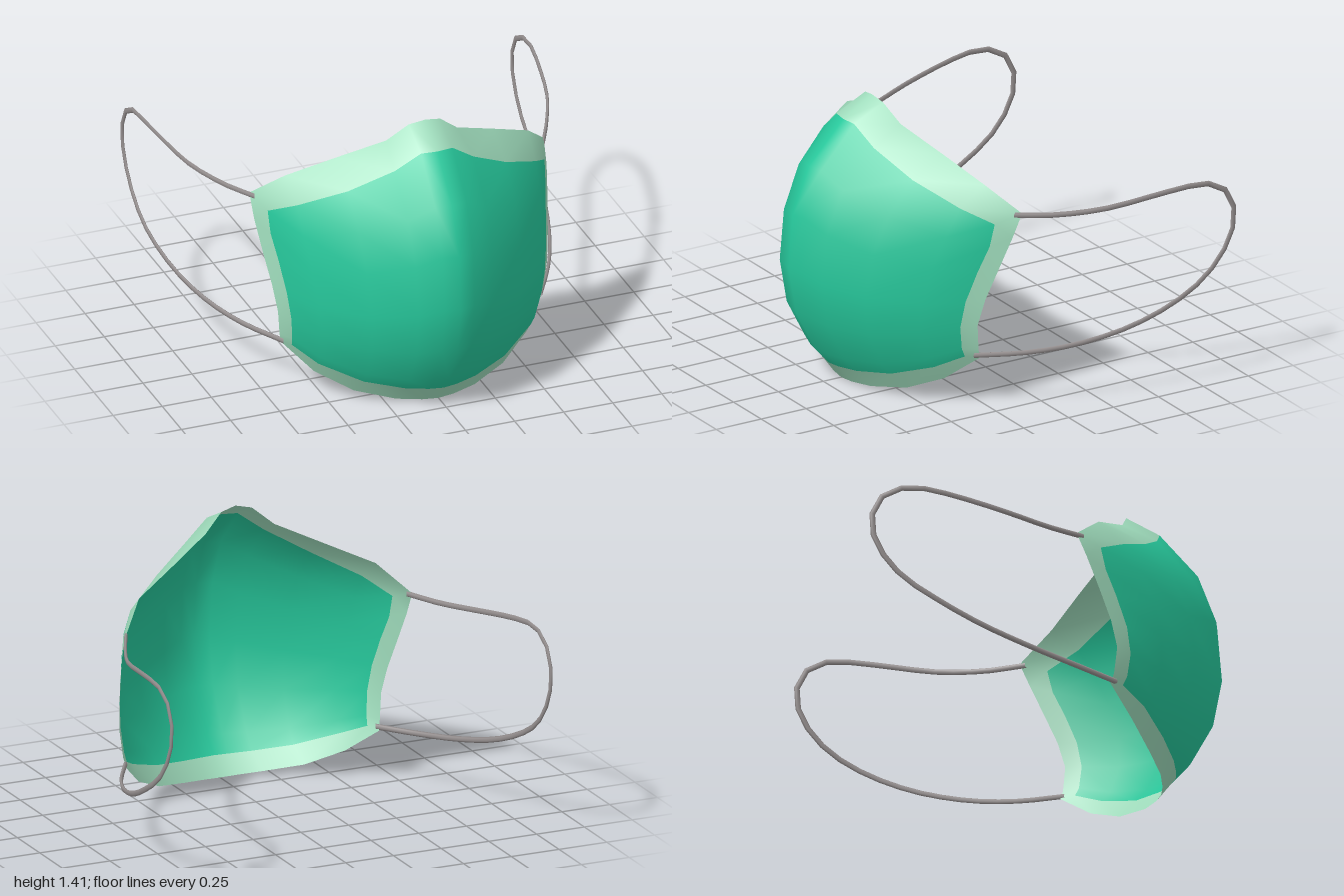
import * as THREE from 'three';
import { mergeVertices } from 'three/addons/utils/BufferGeometryUtils.js';

// Columns run from the centre line to the side seam
const ACROSS = [0, 0.114, 0.285, 0.57, 0.86, 1];   // share of the half width
const FALL = [0, 0.03, 0.115, 0.34, 0.68, 1];      // share of the way back to the seam
const BOTTOM_Y = [0.09, 0.092, 0.1, 0.13, 0.2, 0.26];
const TOP_Y = [1.32, 1.318, 1.23, 1.115, 1.01, 0.935];
// Rows from bottom seam to top seam: height share, centre z, seam x, seam z
const ROWS = [
  [0, 0.72, 0.63, 0.35], [0.065, 0.79, 0.635, 0.37], [0.236, 0.9, 0.645, 0.385],
  [0.43, 0.943, 0.66, 0.365], [0.65, 0.92, 0.68, 0.31], [0.837, 0.83, 0.7, 0.255],
  [1, 0.64, 0.705, 0.23],
];
// Outer rim: top centre, over the cheek, down the side, to bottom centre
const RIM = [
  [0, 1.412, 0.48], [0.08, 1.395, 0.467], [0.18, 1.31, 0.43], [0.4, 1.21, 0.33], [0.62, 1.11, 0.235],
  [0.75, 0.98, 0.105],
  [0.745, 0.865, 0.155], [0.725, 0.71, 0.22], [0.702, 0.56, 0.28], [0.685, 0.43, 0.313], [0.672, 0.3, 0.3],
  [0.66, 0.25, 0.285],
  [0.54, 0.13, 0.41], [0.38, 0.05, 0.52], [0.2, 0.015, 0.61], [0.08, 0.004, 0.642], [0, 0, 0.65],
];
// Ear loop path on the +x side
const LOOP = [
  [0.735, 0.972, 0.135], [0.825, 0.967, -0.05], [0.915, 0.985, -0.27], [0.965, 1.018, -0.5],
  [0.992, 1.037, -0.69], [0.993, 1.02, -0.81], [0.993, 0.955, -0.895], [0.993, 0.845, -0.928],
  [0.993, 0.72, -0.897], [0.993, 0.58, -0.79], [0.99, 0.475, -0.63], [0.95, 0.375, -0.4],
  [0.88, 0.31, -0.15], [0.785, 0.278, 0.08], [0.655, 0.265, 0.31],
];

function maskGeometry() {
  const grid = ROWS.map(([h, zc, xe, ze]) => ACROSS.map((a, c) => [
    a * xe, THREE.MathUtils.lerp(BOTTOM_Y[c], TOP_Y[c], h), THREE.MathUtils.lerp(zc, ze, FALL[c]),
  ]));
  const last = ROWS.length - 1;
  const seam = [
    ...grid[last],
    ...grid.slice(1, last).reverse().map((row) => row[5]),
    ...grid[0].slice().reverse(),
  ];
  const positions = [];
  const quad = (a, b, c, d, side) => {
    const corners = side > 0 ? [a, b, c, a, c, d] : [a, c, b, a, d, c];
    for (const [x, y, z] of corners) positions.push(x * side, y, z);
  };

  // Main panel, both halves
  for (const side of [1, -1])
    for (let r = 0; r < last; r++)
      for (let c = 0; c < 5; c++)
        quad(grid[r][c], grid[r][c + 1], grid[r + 1][c + 1], grid[r + 1][c], side);
  const panelCount = positions.length / 3;

  // Border band between seam and rim
  for (const side of [1, -1])
    for (let i = 0; i < RIM.length - 1; i++)
      quad(seam[i], seam[i + 1], RIM[i + 1], RIM[i], side);

  const geometry = new THREE.BufferGeometry();
  geometry.setAttribute('position', new THREE.Float32BufferAttribute(positions, 3));
  geometry.addGroup(0, panelCount, 0);
  geometry.addGroup(panelCount, positions.length / 3 - panelCount, 1);
  const smooth = mergeVertices(geometry, 1e-5);
  smooth.computeVertexNormals();
  return smooth;
}

// Flat oval cord: swept round in stretched space, then squeezed in x
function loopGeometry(side) {
  const squeeze = 2;
  const path = new THREE.CatmullRomCurve3(
    LOOP.map(([x, y, z]) => new THREE.Vector3(x * side * squeeze, y, z)), false, 'centripetal');
  return new THREE.TubeGeometry(path, 28, 0.014, 6, false).scale(1 / squeeze, 1, 1);
}

export function createModel() {
  const material = (name, color) => {
    const m = new THREE.MeshStandardMaterial({ color, side: THREE.DoubleSide });
    m.name = name;
    return m;
  };
  const green = material('green fabric', 0x26c69a);
  const paleGreen = material('pale green border', 0x9fdcbc);
  const grey = material('grey elastic', 0x958f8f);

  const model = new THREE.Group();
  model.name = 'faceMask';

  const mask = new THREE.Mesh(maskGeometry(), [green, paleGreen]);
  mask.name = 'maskPanel';
  model.add(mask);

  for (const [name, side] of [['leftEarLoop', 1], ['rightEarLoop', -1]]) {
    const loop = new THREE.Mesh(loopGeometry(side), grey);
    loop.name = name;
    model.add(loop);
  }
  return model;
}
